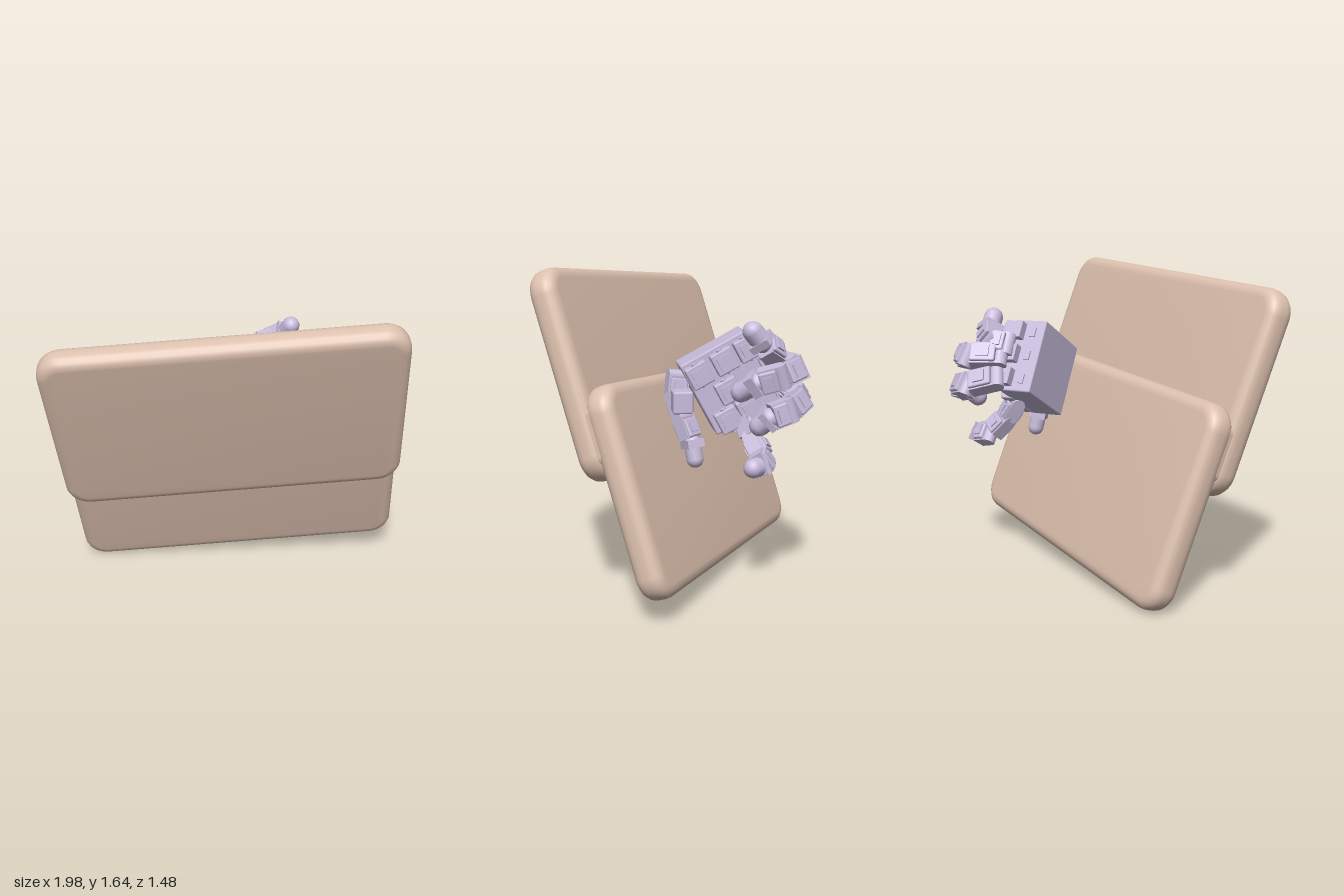
import * as THREE from 'three';
import { toCreasedNormals } from 'three/addons/utils/BufferGeometryUtils.js';
import { RoundedBoxGeometry } from 'three/addons/geometries/RoundedBoxGeometry.js';

const clay = new THREE.MeshStandardMaterial({ color: 0xdcc0ae });
const metal = new THREE.MeshStandardMaterial({ color: 0xc8bcdc });

function add(parent, name, geometry, material, x = 0, y = 0, z = 0) {
  const mesh = new THREE.Mesh(geometry, material);
  mesh.name = name;
  mesh.position.set(x, y, z);
  parent.add(mesh);
  return mesh;
}

// Plate with rounded corners and soft edges, centred on its own origin
function plateGeometry(w, h, t, corner, edge) {
  const a = w / 2 - edge, b = h / 2 - edge, r = corner - edge;
  const s = new THREE.Shape();
  s.moveTo(-a + r, -b);
  s.absarc(a - r, -b + r, r, -Math.PI / 2, 0);
  s.absarc(a - r, b - r, r, 0, Math.PI / 2);
  s.absarc(-a + r, b - r, r, Math.PI / 2, Math.PI);
  s.absarc(-a + r, -b + r, r, Math.PI, Math.PI * 1.5);
  const g = new THREE.ExtrudeGeometry(s, {
    depth: t - 2 * edge, bevelThickness: edge, bevelSize: edge, bevelSegments: 4, curveSegments: 8,
  });
  g.translate(0, 0, edge - t / 2);
  return toCreasedNormals(g, 0.6);
}

// One link of a finger: body, side plates and a joint pin, pointing along +z
function makeLink(length, w) {
  const link = new THREE.Group();
  link.name = 'fingerLink';
  add(link, 'linkBody', new RoundedBoxGeometry(w, w, length * 0.78, 1, 0.008), metal, 0, 0, length * 0.5);
  for (const s of [-1, 1]) {
    add(link, 'sidePlate', new THREE.BoxGeometry(w * 0.7, 0.012, length * 0.9), metal, 0, s * w * 0.52, length * 0.45);
    add(link, 'ridge', new THREE.BoxGeometry(0.012, w * 0.6, length * 0.4), metal, s * w * 0.52, 0, length * 0.5);
  }
  add(link, 'jointPin', new THREE.CylinderGeometry(w * 0.36, w * 0.36, w * 1.15, 12), metal);
  return link;
}

// Chain of links through the given points, closed by a rounded fingertip
function makeFinger(name, width, points) {
  const finger = new THREE.Group();
  finger.name = name;
  const p = points.map((c) => new THREE.Vector3(...c));
  for (let i = 0; i < p.length - 1; i++) {
    const length = p[i].distanceTo(p[i + 1]);
    const last = i === p.length - 2;
    let link;
    if (last) {
      link = new THREE.Group();
      link.name = 'fingertip';
      const tip = new THREE.CapsuleGeometry(width * 0.48, length * 0.8, 5, 14);
      tip.rotateX(Math.PI / 2);
      add(link, 'tipPad', tip, metal, 0, 0, length * 0.5);
      add(link, 'tipClamp', new THREE.BoxGeometry(width, width, length * 0.4), metal, 0, 0, length * 0.15);
    } else {
      link = makeLink(length, width);
    }
    link.up.set(0, 0.8, 0.6);
    link.position.copy(p[i]);
    link.lookAt(p[i + 1]);
    finger.add(link);
  }
  return finger;
}

export function createModel() {
  const model = new THREE.Group();
  model.name = 'steppedSlabWithHand';

  // Tilted slab: two overlapping plates, stepped in depth
  const slab = new THREE.Group();
  slab.name = 'steppedSlab';
  const across = new THREE.Vector3(0.855, 0.072, 0.513).normalize();
  const normal = across.clone().cross(new THREE.Vector3(-0.235, 0.938, 0.253)).normalize();
  const up = normal.clone().cross(across);
  slab.quaternion.setFromRotationMatrix(new THREE.Matrix4().makeBasis(across, up, normal));
  slab.position.y = 0.815;
  const plate = plateGeometry(1.84, 1.04, 0.145, 0.13, 0.055);
  add(slab, 'upperPlate', plate, clay, 0, 0.302, 0.057);
  add(slab, 'lowerPlate', plate, clay, 0, -0.302, -0.057);
  add(slab, 'stepCore', new RoundedBoxGeometry(1.82, 0.3, 0.19, 3, 0.05), clay);
  model.add(slab);

  const hand = new THREE.Group();
  hand.name = 'mechanicalHand';
  model.add(hand);

  // Palm housing
  const palm = new THREE.Group();
  palm.name = 'palm';
  palm.position.set(0.375, 1.06, -0.23);
  palm.rotation.x = 0.5;
  hand.add(palm);
  add(palm, 'palmHousing', new RoundedBoxGeometry(0.19, 0.4, 0.37, 1, 0.008), metal);
  // Actuator blocks on the inside of the palm
  for (const [y, z] of [[0.12, 0.12], [0.12, -0.02], [0.12, -0.15], [-0.02, 0.03], [-0.15, -0.02], [-0.15, 0.1]]) {
    add(palm, 'actuator', new RoundedBoxGeometry(0.07, 0.115, 0.115, 1, 0.008), metal, 0.11, y, z);
    add(palm, 'actuatorCap', new THREE.BoxGeometry(0.02, 0.07, 0.07), metal, 0.15, y, z);
    add(palm, 'actuatorPin', new THREE.CylinderGeometry(0.015, 0.015, 0.13, 10), metal, 0.125, y, z);
  }
  // Knuckle brackets along the finger edge
  for (let i = 0; i < 3; i++) {
    add(palm, 'knuckleBracket', new THREE.BoxGeometry(0.1, 0.09, 0.06), metal, 0.07, 0.13 - i * 0.13, -0.2);
    add(palm, 'ventRib', new THREE.BoxGeometry(0.03, 0.05, 0.012), metal, -0.03, 0.13 - i * 0.13, -0.187);
  }

  // Curled fingers and thumb
  const fingers = [
    ['firstFinger', 0.105, [[0.45, 1.2, -0.42], [0.54, 1.21, -0.45], [0.6, 1.27, -0.36], [0.61, 1.34, -0.3]]],
    ['secondFinger', 0.105, [[0.46, 1.15, -0.47], [0.62, 1.15, -0.53], [0.72, 1.13, -0.42], [0.69, 1.1, -0.32], [0.63, 1.04, -0.24]]],
    ['thirdFinger', 0.105, [[0.46, 1.04, -0.51], [0.61, 1.0, -0.55], [0.73, 0.97, -0.46], [0.74, 0.94, -0.37], [0.71, 0.89, -0.32]]],
    ['fourthFinger', 0.1, [[0.47, 0.88, -0.31], [0.53, 0.79, -0.33], [0.6, 0.71, -0.37], [0.69, 0.69, -0.34], [0.73, 0.69, -0.29]]],
    ['thumb', 0.09, [[0.4, 1.09, 0.03], [0.42, 0.99, 0.04], [0.46, 0.89, 0.01], [0.5, 0.78, -0.03], [0.52, 0.68, -0.045]]],
  ];
  for (const [name, width, points] of fingers) hand.add(makeFinger(name, width, points));
  add(hand, 'thumbMotor', new RoundedBoxGeometry(0.11, 0.11, 0.1, 1, 0.01), metal, 0.5, 0.98, 0.02);

  return model;
}
